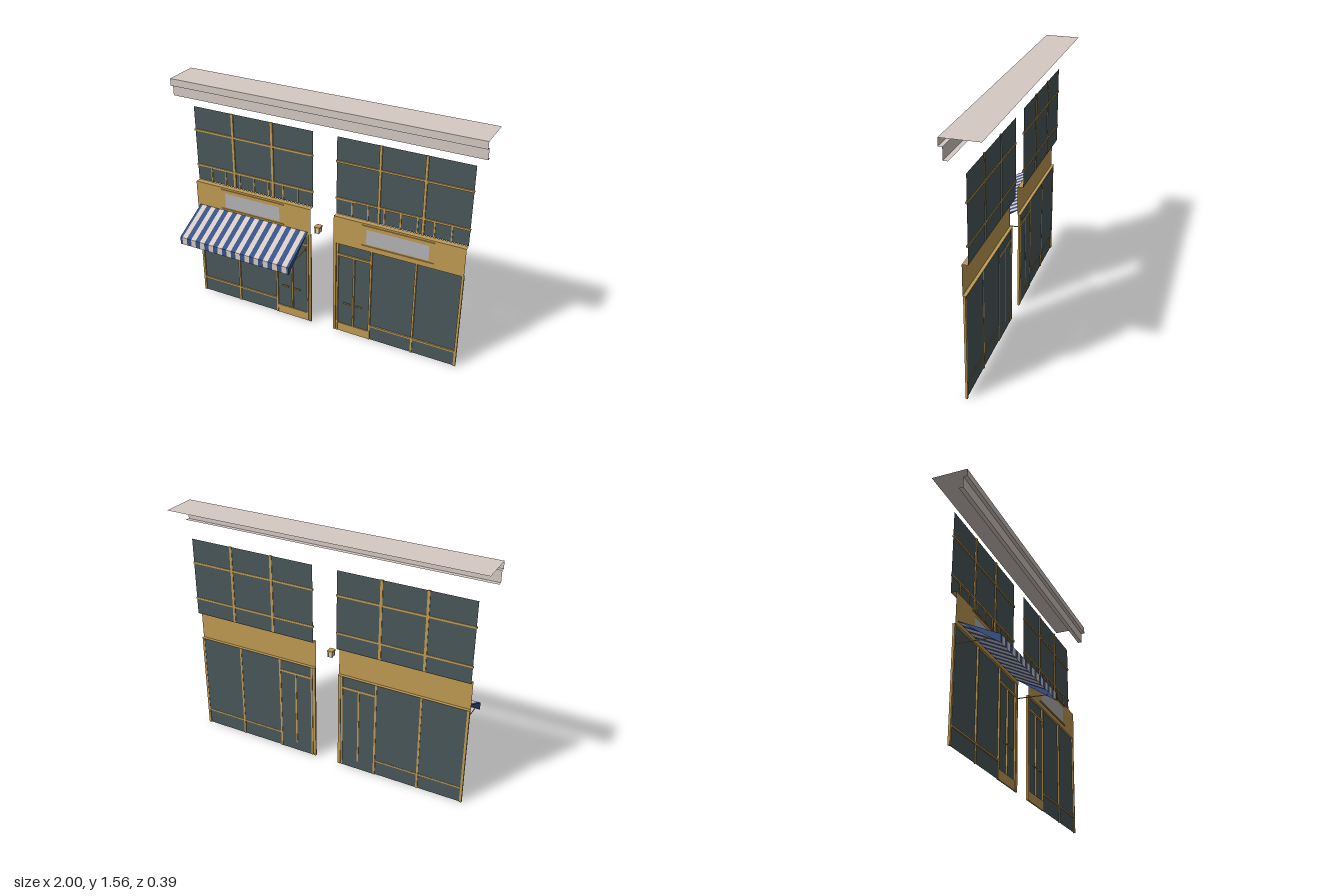
import * as THREE from 'three';

const mat = (name, color) => {
  const m = new THREE.MeshStandardMaterial({ color, side: THREE.DoubleSide });
  m.name = name;
  return m;
};

export function createModel() {
  const root = new THREE.Group();
  root.name = 'shopfronts';
  const gold = mat('ochre wood', 0xc09a52);
  const glass = mat('dark glass', 0x4a575b);
  const stone = mat('pale stone', 0xd6cac3);
  const grey = mat('sign grey', 0xb4b4b6);
  const blue = mat('awning blue', 0x37528a);

  const add = (parent, name, geo, material) => {
    const mesh = new THREE.Mesh(geo, material);
    mesh.name = name;
    parent.add(mesh);
    return mesh;
  };
  // box from its limits
  const box = (parent, name, material, x0, x1, y0, y1, z0, z1) =>
    add(parent, name, new THREE.BoxGeometry(x1 - x0, y1 - y0, z1 - z0), material)
      .position.set((x0 + x1) / 2, (y0 + y1) / 2, (z0 + z1) / 2);
  // upright flat panel
  const panel = (parent, name, material, x0, x1, y0, y1, z) =>
    add(parent, name, new THREE.PlaneGeometry(x1 - x0, y1 - y0), material)
      .position.set((x0 + x1) / 2, (y0 + y1) / 2, z);
  // sheet swept along x from a [z, y] profile, each strip flat
  const sheet = (parent, name, material, x0, x1, profile) => {
    const pos = [];
    for (let i = 0; i < profile.length - 1; i++) {
      const [za, ya] = profile[i], [zb, yb] = profile[i + 1];
      pos.push(x0, ya, za, x0, yb, zb, x1, yb, zb, x0, ya, za, x1, yb, zb, x1, ya, za);
    }
    const g = new THREE.BufferGeometry();
    g.setAttribute('position', new THREE.Float32BufferAttribute(pos, 3));
    g.computeVertexNormals();
    return add(parent, name, g, material);
  };

  // cornice
  sheet(root, 'cornice', stone, -1, 1, [
    [-0.2, 1.56], [0.02, 1.56], [0.02, 1.515], [-0.003, 1.515], [-0.003, 1.445], [-0.03, 1.445]]);

  // one shopfront on each side, s = 1 or -1 in x
  for (const s of [1, -1]) {
    const shop = new THREE.Group();
    shop.name = s > 0 ? 'leftShop' : 'rightShop';
    root.add(shop);
    const B = (name, m, a, b, ...r) => box(shop, name, m, Math.min(s * a, s * b), Math.max(s * a, s * b), ...r);
    const P = (name, m, a, b, ...r) => panel(shop, name, m, Math.min(s * a, s * b), Math.max(s * a, s * b), ...r);

    // upper window
    P('upperGlass', glass, 0.08, 0.92, 0.85, 1.357, -0.09);
    for (const x of [0.36, 0.64]) B('upperMullion', gold, x - 0.008, x + 0.008, 0.85, 1.357, -0.093, -0.083);
    for (const y of [0.957, 1.2]) B('upperRail', gold, 0.077, 0.923, y - 0.006, y + 0.006, -0.093, -0.083);
    for (let i = -3; i <= 3; i++)
      B('smallMullion', gold, 0.5 + i * 0.105 - 0.004, 0.5 + i * 0.105 + 0.004, 0.85, 0.953, -0.089, -0.085);

    // sign board with top and bottom returns
    sheet(shop, 'signBoard', gold, s * 0.5 - 0.42, s * 0.5 + 0.42, [
      [-0.09, 0.848], [-0.055, 0.848], [-0.055, 0.66], [-0.075, 0.66]]);
    P('signPlate', grey, 0.3, 0.7, 0.71, 0.81, -0.052);
    for (const y of [0.695, 0.833]) B('signRail', gold, 0.27, 0.73, y - 0.003, y + 0.003, -0.055, -0.049);

    // lower glazing and base panels
    P('lowerGlass', glass, 0.08, 0.92, 0.105, 0.66, -0.068);
    P('doorGlass', glass, 0.11, 0.338, 0, 0.105, -0.068);
    P('basePanel', glass, 0.338, 0.92, 0, 0.105, -0.064);

    // lower frame: [x0, x1, y0, y1]
    const frame = [
      [0.08, 0.096, 0, 0.66], [0.101, 0.112, 0, 0.66], [0.905, 0.92, 0, 0.66],
      [0.328, 0.34, 0, 0.66], [0.619, 0.631, 0, 0.66],
      [0.34, 0.905, 0.1, 0.11], [0.11, 0.33, 0.572, 0.586], [0.215, 0.225, 0.06, 0.572],
    ];
    for (const [a, b, c, d] of frame) B('shopFrame', gold, a, b, c, d, -0.07, -0.058);
    B('doorKickPlate', gold, 0.11, 0.33, 0, 0.06, -0.066, -0.06);
    for (const x of [0.178, 0.264]) B('doorHandle', gold, x - 0.023, x + 0.023, 0.226, 0.234, -0.056, -0.049);
  }

  // striped awning with a narrow blue stripe at both ends
  const awning = new THREE.Group();
  awning.name = 'awning';
  root.add(awning);
  const w = 0.8 / 24, profile = [[-0.055, 0.683], [0.193, 0.56], [0.193, 0.51]];
  for (let i = 0; i <= 24; i++) {
    const a = Math.max(-0.9, -0.9 + (i - 0.5) * w), b = Math.min(-0.1, -0.9 + (i + 0.5) * w);
    sheet(awning, 'awningStripe', i % 2 ? stone : blue, a, b, profile);
  }
  // triangular awning sides and support arms
  const side = new THREE.Shape(profile.map(([z, y]) => new THREE.Vector2(-z, y)));
  for (const x of [-0.9, -0.1]) {
    const m = add(awning, 'awningSide', new THREE.ShapeGeometry(side), blue);
    m.rotation.y = Math.PI / 2;
    m.position.x = x;
    const ax = x < -0.5 ? x + 0.012 : x - 0.012;
    const arm = new THREE.LineCurve3(new THREE.Vector3(ax, 0.559, -0.058), new THREE.Vector3(ax, 0.553, 0.145));
    add(awning, 'awningArm', new THREE.TubeGeometry(arm, 1, 0.003, 6), gold);
  }

  // wall lantern between the shops
  const lantern = new THREE.Group();
  lantern.name = 'lantern';
  root.add(lantern);
  box(lantern, 'lanternBody', stone, -0.013, 0.013, 0.736, 0.77, -0.024, 0.012);
  box(lantern, 'lanternCap', gold, -0.018, 0.018, 0.77, 0.78, -0.027, 0.015);
  for (const x of [-0.013, 0.013]) for (const z of [-0.024, 0.012])
    box(lantern, 'lanternPost', gold, x - 0.002, x + 0.002, 0.735, 0.772, z - 0.002, z + 0.002);
  return root;
}
